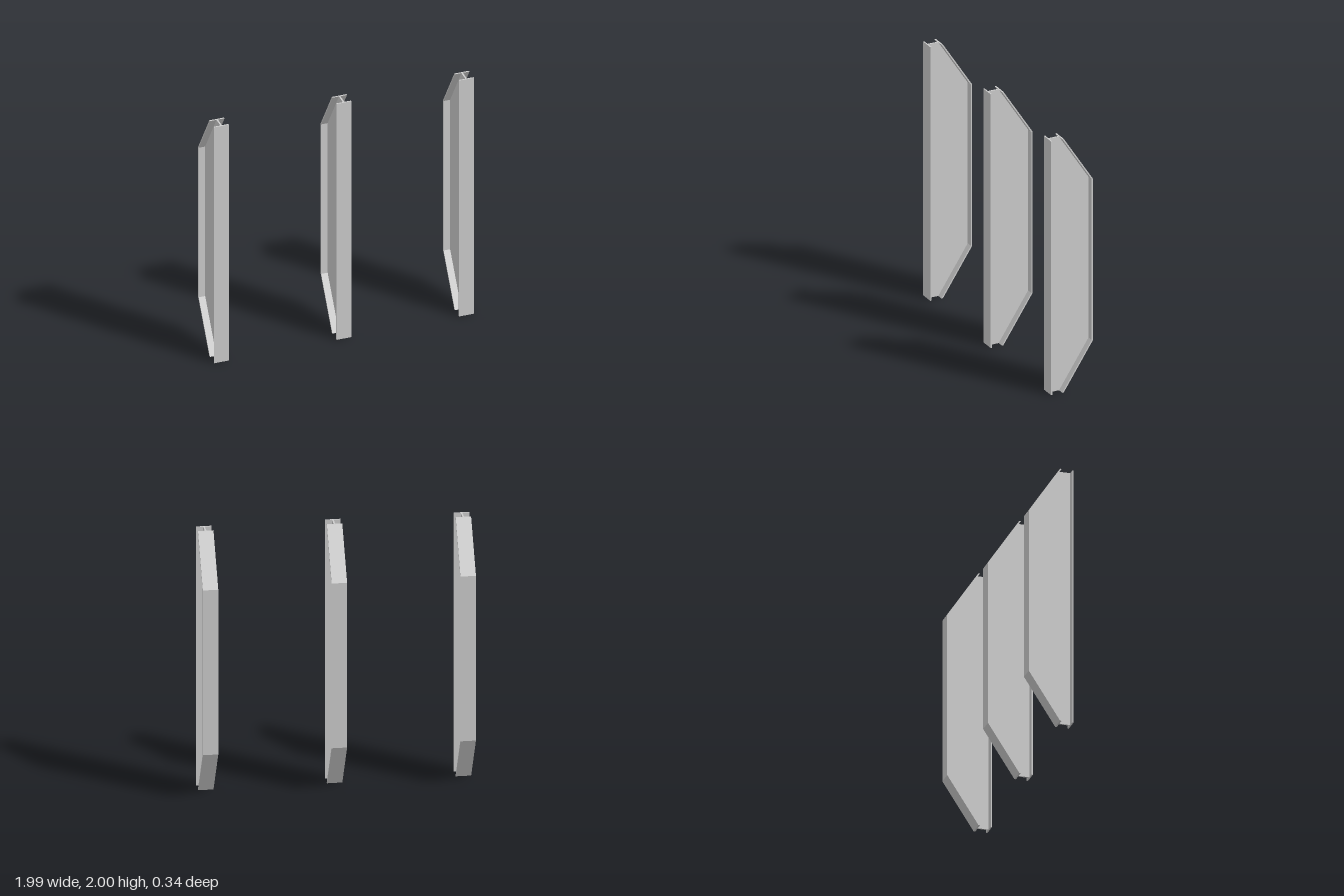
import * as THREE from 'three';

const WIDTH = 0.112;      // flange width
const T = 0.01;           // flange thickness
const WEB = 0.012;        // web thickness
const SPACING = 0.937;    // distance between beams
const FRONT = 0.17, BACK = -0.17, TIP = 0.067, BEND = 0.363;

const material = new THREE.MeshStandardMaterial({ color: 0xcccccc, flatShading: true });

// Extrudes a side profile of [z, y] points along x, centred on x = 0
function sideProfile(points, width, name) {
  const shape = new THREE.Shape(points.map(([z, y]) => new THREE.Vector2(-z, y)));
  const geometry = new THREE.ExtrudeGeometry(shape, { depth: width, bevelEnabled: false });
  geometry.translate(0, 0, -width / 2).rotateY(Math.PI / 2);
  const mesh = new THREE.Mesh(geometry, material);
  mesh.name = name;
  return mesh;
}

function createBeam() {
  const beam = new THREE.Group();

  // Straight full-height flange
  const front = new THREE.Mesh(new THREE.BoxGeometry(WIDTH, 2, T), material);
  front.position.set(0, 1, FRONT - T / 2);
  front.name = 'frontFlange';

  // Back flange, bent towards the front at both ends
  const outer = [[TIP, 0], [BACK, BEND], [BACK, 2 - BEND], [TIP, 2]];
  const inner = [[TIP + T * 1.2, 2], [BACK + T, 2 - BEND - 0.003], [BACK + T, BEND + 0.003], [TIP + T * 1.2, 0]];
  const back = sideProfile([...outer, ...inner], WIDTH, 'backFlange');

  // Web plate joining the flanges
  const web = sideProfile([[FRONT - T, 0], ...[...inner].reverse(), [FRONT - T, 2]], WEB, 'web');

  beam.add(front, back, web);
  return beam;
}

export function createModel() {
  const model = new THREE.Group();
  model.name = 'beams';
  ['rightBeam', 'middleBeam', 'leftBeam'].forEach((name, i) => {
    const beam = createBeam();
    beam.name = name;
    beam.position.x = (i - 1) * SPACING;
    model.add(beam);
  });
  return model;
}
